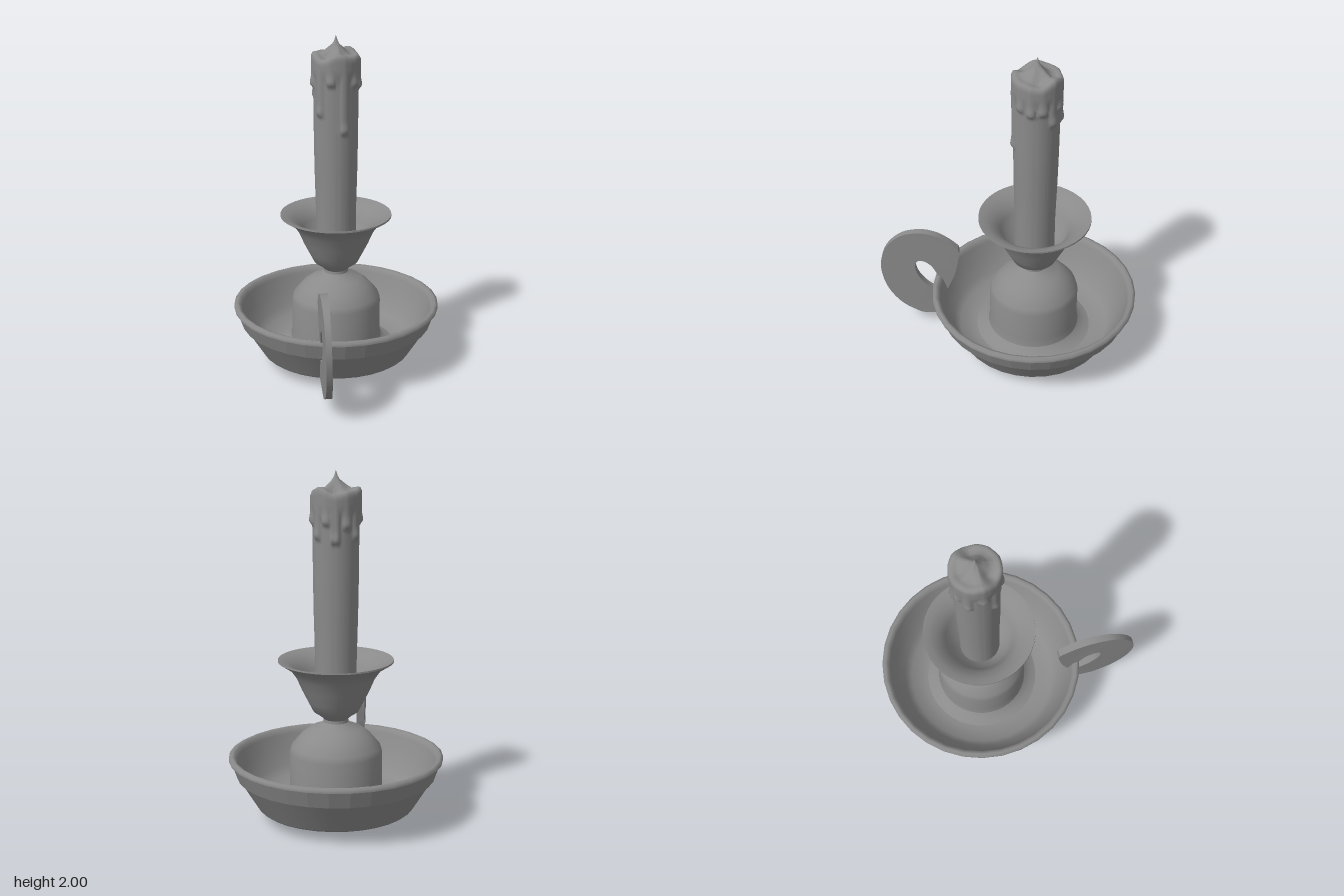
import * as THREE from 'three';
import { toCreasedNormals } from 'three/addons/utils/BufferGeometryUtils.js';

const material = new THREE.MeshStandardMaterial({ color: 0x8a8a8a, side: THREE.DoubleSide });
const AXIS_Z = -0.16; // the dish and candle stand behind the handle

function addMesh(group, name, geometry) {
  const mesh = new THREE.Mesh(geometry, material);
  mesh.name = name;
  group.add(mesh);
  return mesh;
}

const vectors = (pairs) => pairs.map(([x, y]) => new THREE.Vector2(x, y));

function turned(pairs, segments, crease) {
  return toCreasedNormals(new THREE.LatheGeometry(vectors(pairs), segments), crease);
}

// Flat foot and sloping outer wall, with crisp edges
const dishOutside = () => turned([[0, 0], [0.21, 0.005], [0.44, 0.065], [0.453, 0.075], [0.56, 0.25]], 32, 0.21);

// Faceted band below the rim
const dishBand = () => turned([[0.56, 0.25], [0.572, 0.252], [0.604, 0.345]], 32, 0.1);

// Rolled rim and smooth inside
const dishInside = () => turned([
  [0.604, 0.345], [0.617, 0.35], [0.617, 0.368], [0.6, 0.377], [0.582, 0.37], [0.57, 0.34],
  [0.54, 0.26], [0.49, 0.17], [0.45, 0.125], [0.36, 0.105], [0, 0.105],
], 32, 1.2);

// Domed pedestal, narrow neck and flared cup
const holderGeometry = () => turned([
  [0.365, 0.1], [0.31, 0.115], [0.275, 0.15], [0.266, 0.2], [0.266, 0.39], [0.255, 0.425],
  [0.2, 0.49], [0.15, 0.528], [0.095, 0.55], [0.072, 0.568], [0.07, 0.585], [0.09, 0.605],
  [0.13, 0.632], [0.16, 0.69], [0.195, 0.76], [0.225, 0.83], [0.26, 0.88], [0.33, 0.925],
  [0.329, 0.934], [0.29, 0.922], [0.24, 0.89], [0.2, 0.84], [0.165, 0.75], [0.1, 0.7], [0, 0.7],
], 40, 0.6);

// Each drip: angle from the front, height of its lower end, angular half width
const drips = [
  [0.3, 1.44, 0.21], [-0.85, 1.54, 0.2], [-0.3, 1.72, 0.22], [0.85, 1.71, 0.2],
  [1.35, 1.69, 0.2], [1.85, 1.7, 0.22], [2.35, 1.62, 0.2], [2.8, 1.7, 0.2],
  [-3.1, 1.6, 0.22], [-2.6, 1.68, 0.2], [-2.1, 1.62, 0.2], [-1.45, 1.7, 0.22],
];

// Depth of wax: an even collar at the top, breaking into round-ended drips
function waxDepth(angle, y) {
  let depth = 0.01 * THREE.MathUtils.smoothstep(y, 1.73, 1.82);
  for (const [centre, end, width] of drips) {
    const turn = Math.atan2(Math.sin(angle - centre), Math.cos(angle - centre));
    const across = Math.max(0, 1 - (turn / width) ** 2);
    const start = THREE.MathUtils.smoothstep(y, end - 0.01, end + 0.025);
    const bulb = 0.008 * Math.exp(-(((y - end - 0.03) / 0.03) ** 2));
    depth = Math.max(depth, Math.sqrt(across) * start * (0.012 + bulb));
  }
  return depth;
}

// Candle: tapered shaft with wax runs, uneven lip and a peaked melted top
function candleGeometry() {
  const profile = [[0.118, 0.7], [0.118, 0.93], [0.125, 1.2], [0.128, 1.38]];
  for (let i = 1; i <= 38; i++) profile.push([0.128 + i * 0.0001, 1.38 + i * 0.0126]);
  profile.push([0.131, 1.875], [0.125, 1.89], [0.115, 1.896], [0.1, 1.893], [0.08, 1.89],
    [0.06, 1.908], [0.04, 1.93], [0.02, 1.95], [0.01, 1.968], [0.005, 1.985], [0, 2]);
  const geometry = new THREE.LatheGeometry(vectors(profile), 96);
  const p = geometry.attributes.position;
  for (let i = 0; i < p.count; i++) {
    const x = p.getX(i), z = p.getZ(i), y = p.getY(i);
    const r = Math.hypot(x, z), a = Math.atan2(x, z);
    if (r < 0.001 || y < 1.35) continue;
    const edge = THREE.MathUtils.smoothstep(r, 0.04, 0.13);
    const scale = 1 + waxDepth(a, y) * edge / r;
    const wave = 0.012 * Math.sin(3 * a + 0.6) + 0.008 * Math.sin(5 * a + 2);
    const lift = wave * THREE.MathUtils.smoothstep(y, 1.78, 1.89) * THREE.MathUtils.smoothstep(r, 0.01, 0.08);
    p.setXYZ(i, x * scale, y + lift, z * scale);
  }
  return toCreasedNormals(geometry, 1.2);
}

// Curled flat handle that hooks over the rim, drawn as (z, y)
function handleGeometry() {
  const shape = new THREE.Shape();
  shape.moveTo(0.28, 0.075);
  shape.lineTo(0.54, 0.075);
  shape.splineThru(vectors([[0.66, 0.145], [0.75, 0.27], [0.785, 0.43], [0.75, 0.57],
    [0.66, 0.665], [0.55, 0.695], [0.45, 0.68], [0.37, 0.635], [0.305, 0.58]]));
  shape.splineThru(vectors([[0.3, 0.54], [0.315, 0.45], [0.335, 0.37], [0.385, 0.25]]));
  shape.splineThru(vectors([[0.42, 0.33], [0.44, 0.39], [0.475, 0.45], [0.52, 0.482],
    [0.56, 0.477], [0.573, 0.43], [0.55, 0.36], [0.5, 0.295], [0.44, 0.25], [0.4, 0.235]]));
  shape.lineTo(0.37, 0.235);
  const geometry = new THREE.ExtrudeGeometry(shape, { depth: 1, bevelEnabled: false, curveSegments: 24 });
  geometry.rotateY(-Math.PI / 2);
  // Thin the plate toward its outer edge and lean its top outward
  const p = geometry.attributes.position;
  for (let i = 0; i < p.count; i++) {
    const y = p.getY(i), z = p.getZ(i);
    const thickness = 0.046 - 0.05 * Math.max(0, z - 0.5);
    p.setX(i, -0.108 - 0.025 * y + (p.getX(i) + 0.5) * thickness);
  }
  return toCreasedNormals(geometry, 0.6);
}

export function createModel() {
  const model = new THREE.Group();
  model.name = 'candlestick';
  const turnedParts = {
    dishOutside: dishOutside(), dishBand: dishBand(), dishInside: dishInside(),
    candleHolder: holderGeometry(), candle: candleGeometry(),
  };
  for (const [name, geometry] of Object.entries(turnedParts)) addMesh(model, name, geometry).position.z = AXIS_Z;
  addMesh(model, 'handle', handleGeometry());
  return model;
}
